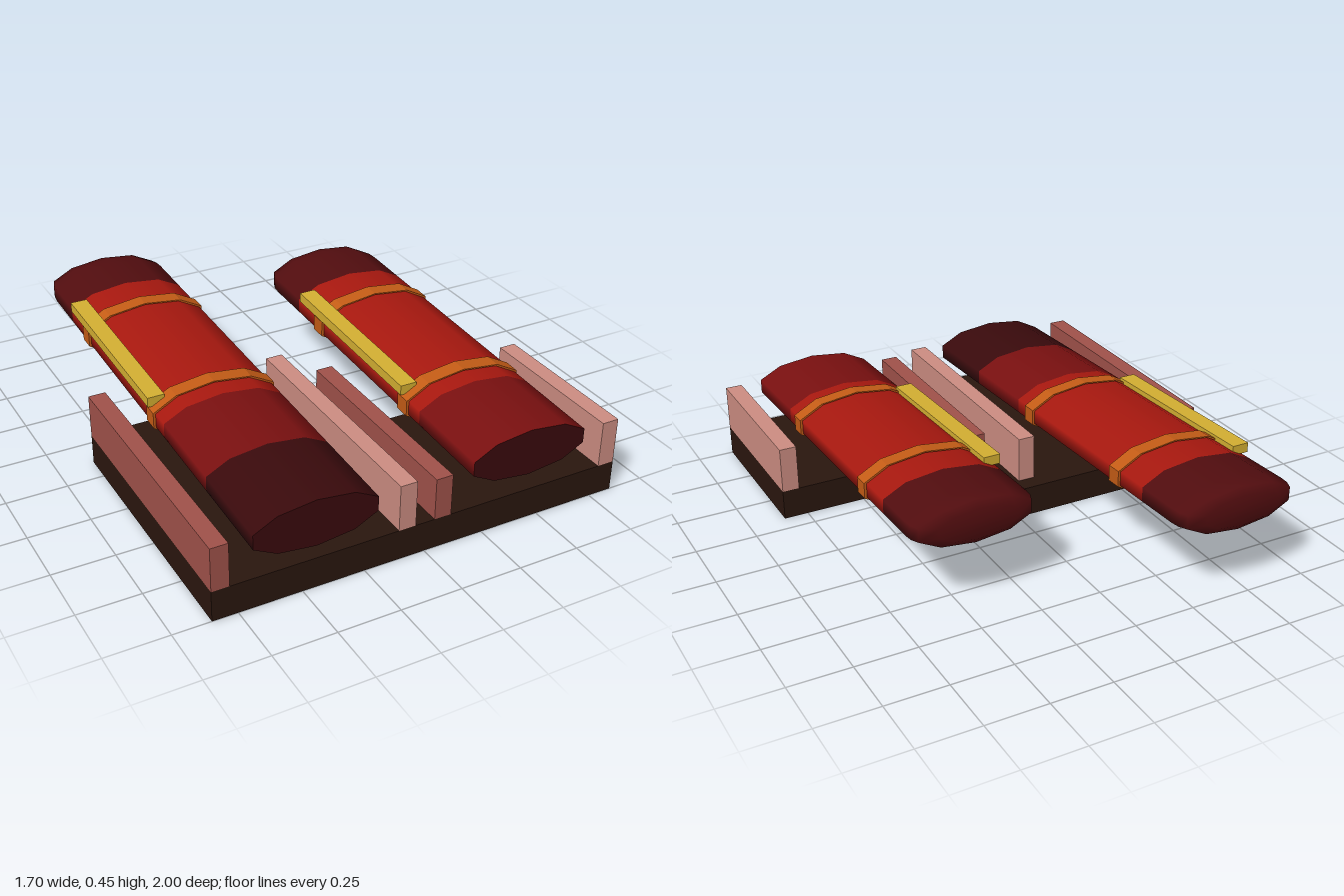
import * as THREE from 'three';

const SLOPE = 0.0433;   // tubes rise towards the back
const RX = 0.258, RY = 0.096, SIDES = 10;

const paint = (color, flat = false) =>
  new THREE.MeshStandardMaterial({ color, flatShading: flat });

const base = paint(0x2a160e, true);
const pink = paint(0xcd8d82, true);
const clay = paint(0xa0524a, true);
const red = paint(0xa8180f);
const darkRed = paint(0x7a1010);
const maroon = paint(0x520d0f);
const darkMaroon = paint(0x3a0a0c);
const orange = paint(0xc45c16, true);
const yellow = paint(0xd4af32, true);

function add(parent, name, geometry, material) {
  const mesh = new THREE.Mesh(geometry, material);
  mesh.name = name;
  parent.add(mesh);
  return mesh;
}

// box given by its limits on each axis
function box(x0, x1, y0, y1, z0, z1) {
  return new THREE.BoxGeometry(x1 - x0, y1 - y0, z1 - z0)
    .translate((x0 + x1) / 2, (y0 + y1) / 2, (z0 + z1) / 2);
}

// tilts a part along the tube axis without tilting its ends
const tilt = new THREE.Matrix4().set(
  1, 0, 0, 0,
  0, 1, -SLOPE, 0,
  0, 0, 1, 0,
  0, 0, 0, 1);

// flattened ten-sided ring surface through [radius, z] points, front to back
function oval(profile, sx = 1, sy = 1) {
  const points = profile.map(([r, z]) => new THREE.Vector2(r, -z));
  return new THREE.LatheGeometry(points, SIDES)
    .rotateX(-Math.PI / 2)
    .scale(RX * sx, RY * sy, 1)
    .applyMatrix4(tilt);
}

// one tube unit: shell sections, back cap, two straps and a side rail
function tube(name, x, y, back, sections, frontMaterial) {
  const g = new THREE.Group();
  g.name = name;
  g.position.set(x, y, 0);

  for (const [label, z0, z1, material] of sections)
    add(g, label, oval([[1, z0], [1, z1]]), material);

  // rounded back cap
  add(g, 'backCap', oval([
    [1, back + 0.295], [1, back + 0.1], [0.985, back + 0.06],
    [0.93, back + 0.025], [0.65, back], [0, back - 0.001],
  ]), maroon);

  // flat front end
  const end = new THREE.CircleGeometry(1, SIDES, Math.PI / 2)
    .scale(RX, RY, 1).translate(0, 0, 1).applyMatrix4(tilt);
  add(g, 'frontEnd', end, frontMaterial);

  // straps
  for (const z of [back + 0.48, back + 1.15]) {
    const f = z + 0.033, b = z - 0.033;
    add(g, 'strap', oval([[0.95, f], [1, f], [1, b], [0.95, b]], 1.04, 1.1), orange);
  }

  // rail along one side
  const rail = box(-0.26, -0.19, 0.04, 0.08, back + 0.33, back + 1.145).applyMatrix4(tilt);
  add(g, 'sideRail', rail, yellow);
  return g;
}

export function createModel() {
  const model = new THREE.Group();
  model.name = 'twinTubeRack';

  // stepped base slab
  const outline = new THREE.Shape([
    [-0.85, -1], [0.85, -1], [0.85, -0.33], [0.11, -0.33], [0.11, 0.11], [-0.85, 0.11],
  ].map(([x, y]) => new THREE.Vector2(x, y)));
  const slab = new THREE.ExtrudeGeometry(outline, { depth: 0.125, bevelEnabled: false })
    .rotateX(-Math.PI / 2);
  add(model, 'baseSlab', slab, base);

  // upright boards: name, x limits, top, back z, material
  for (const [name, x0, x1, top, z0, material] of [
    ['rightOuterBoard', -0.85, -0.78, 0.305, -0.11, clay],
    ['rightInnerBoard', -0.11, -0.04, 0.315, -0.04, pink],
    ['leftInnerBoard', 0.04, 0.11, 0.296, 0.11, clay],
    ['leftOuterBoard', 0.78, 0.85, 0.315, 0.33, pink],
  ]) add(model, name, box(x0, x1, 0.125, top, z0, 1), material);

  // the two tubes
  model.add(tube('rightTube', -0.445, 0.317, -1, [
    ['frontSection', 1, 0.63, darkMaroon],
    ['lowerSection', 0.63, 0.26, darkRed],
    ['mainSection', 0.26, -0.705, red],
  ], darkMaroon));
  model.add(tube('leftTube', 0.445, 0.333, -0.63, [
    ['lowerSection', 1, 0.63, darkRed],
    ['mainSection', 0.63, -0.335, red],
  ], darkMaroon));

  return model;
}
